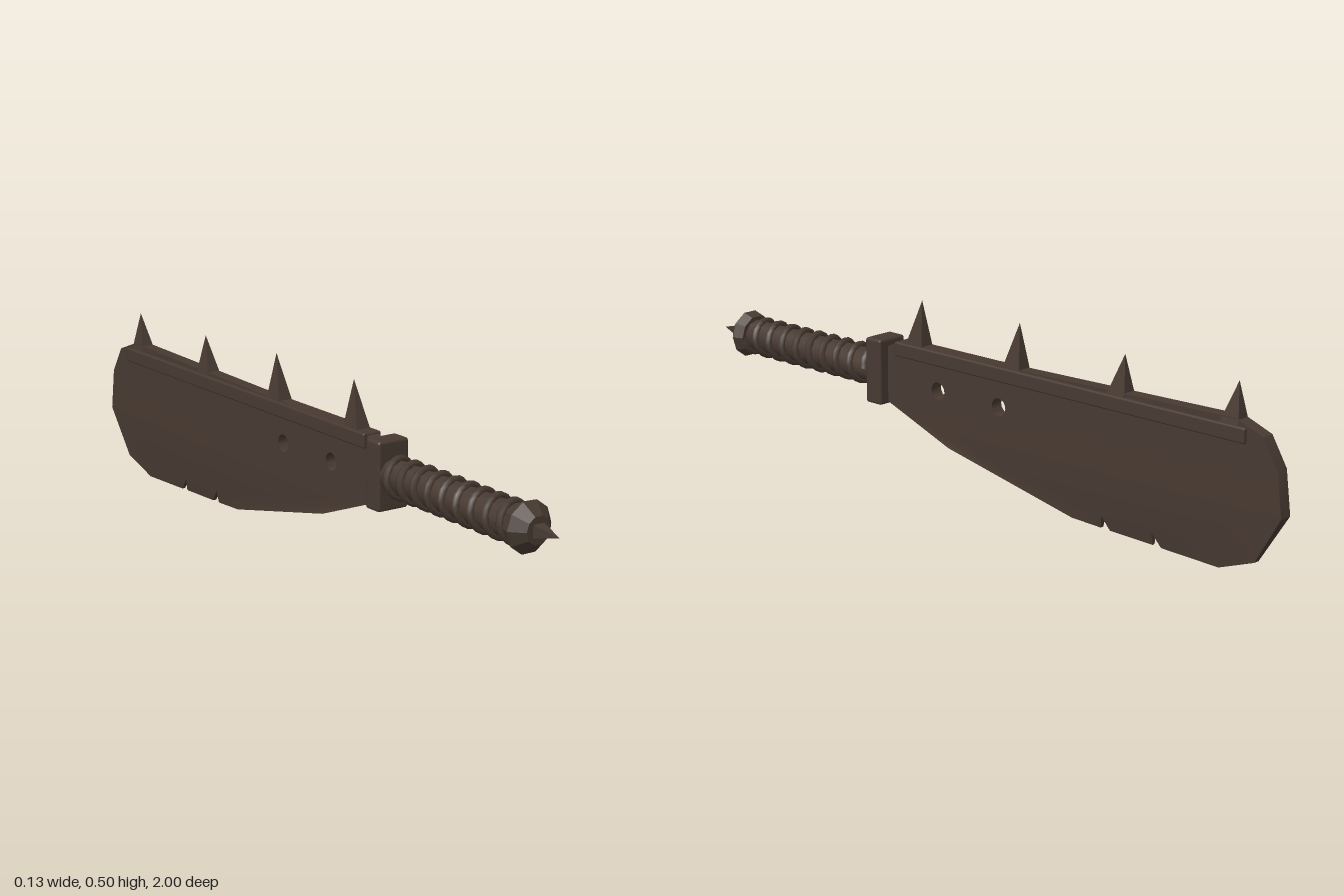
import * as THREE from 'three';
import { toCreasedNormals } from 'three/addons/utils/BufferGeometryUtils.js';
import { RoundedBoxGeometry } from 'three/addons/geometries/RoundedBoxGeometry.js';

const AXIS_Y = 0.287; // height of the handle axis

export function createModel() {
  const group = new THREE.Group();
  group.name = 'spikedMachete';

  const darkIron = new THREE.MeshStandardMaterial({ color: 0x483a32 });
  darkIron.name = 'darkIron';

  const add = (name, geometry, x = 0, y = 0, z = 0) => {
    const mesh = new THREE.Mesh(geometry, darkIron);
    mesh.name = name;
    mesh.position.set(x, y, z);
    group.add(mesh);
    return mesh;
  };

  // Square pyramid with its base on y = 0; the tip is shifted along z
  const spikeGeometry = (halfX, halfZ, height, lean = 0) => {
    const g = new THREE.ConeGeometry(Math.SQRT2, height, 4, 1).toNonIndexed();
    g.rotateY(Math.PI / 4);
    g.translate(0, height / 2, 0);
    g.scale(halfX, 1, halfZ);
    const p = g.attributes.position;
    for (let i = 0; i < p.count; i++) p.setZ(i, p.getZ(i) + (lean * p.getY(i)) / height);
    g.computeVertexNormals();
    return g;
  };

  // Blade: side outline in (z, y), with two rivet holes and two chips in the edge
  const outline = [
    [0.33, 0.358], [0.31, 0.358], [0.28, 0.372], [-0.86, 0.395], [-0.94, 0.365],
    [-0.985, 0.29], [-1, 0.175], [-0.92, 0.045], [-0.81, 0.004],
    [-0.632, 0.01], [-0.603, 0.046], [-0.605, 0.012],
    [-0.467, 0.016], [-0.442, 0.05], [-0.437, 0.017],
    [-0.34, 0.021], [0.085, 0.118], [0.31, 0.203], [0.33, 0.21],
  ].map(([z, y]) => new THREE.Vector2(z, y));
  const shape = new THREE.Shape(outline);
  for (const z of [0.123, -0.096]) {
    shape.holes.push(new THREE.Path().absarc(z, 0.268, 0.024, 0, Math.PI * 2, true));
  }
  const half = 0.018;
  const blade = new THREE.ExtrudeGeometry(shape, {
    depth: half * 2, bevelEnabled: false, curveSegments: 8,
  });
  blade.translate(0, 0, -half);
  // Thin the blade towards its cutting edge
  const p = blade.attributes.position;
  for (let i = 0; i < p.count; i++) {
    const t = THREE.MathUtils.clamp(p.getY(i) / 0.118, 0, 1);
    p.setZ(i, p.getZ(i) * THREE.MathUtils.lerp(0.15, 1, t));
  }
  blade.rotateY(-Math.PI / 2);
  add('blade', toCreasedNormals(blade, 0.5));

  // Reinforcing strip along the back of the blade
  add('spineStrip', new RoundedBoxGeometry(0.056, 0.04, 1.17, 1, 0.005), 0, 0.358, -0.307);

  // Spikes on the spine
  [[0.21, 0.5], [-0.14, 0.5], [-0.49, 0.483], [-0.84, 0.483]].forEach(([z, tip], i) => {
    add('spineSpike' + (i + 1), spikeGeometry(0.022, 0.03, tip - 0.372, -0.013), 0, 0.372, z);
  });

  // Guard
  add('guard', new RoundedBoxGeometry(0.094, 0.183, 0.058, 1, 0.008), 0, 0.287, 0.34);

  // Grip core
  const grip = new THREE.CylinderGeometry(0.045, 0.045, 0.53, 10);
  grip.rotateX(Math.PI / 2);
  add('grip', toCreasedNormals(grip, 0.7), 0, AXIS_Y, 0.615);

  // Cord wound around the grip
  const turns = 9;
  const steps = turns * 10;
  const helix = [];
  for (let i = 0; i <= steps; i++) {
    const a = (i / steps) * turns * Math.PI * 2;
    helix.push(new THREE.Vector3(
      Math.cos(a) * 0.047, Math.sin(a) * 0.047, 0.375 + (0.495 * i) / steps));
  }
  add('gripCord', new THREE.TubeGeometry(
    new THREE.CatmullRomCurve3(helix), steps * 2, 0.0105, 6), 0, AXIS_Y, 0);

  // Ten-sided pommel, turned around the handle axis
  const profile = [[0, 0], [0.056, 0], [0.067, 0.03], [0.036, 0.064], [0, 0.064]]
    .map(([r, h]) => new THREE.Vector2(r, h));
  const pommel = new THREE.LatheGeometry(profile, 10);
  pommel.rotateY(Math.PI / 2);
  pommel.rotateX(Math.PI / 2);
  add('pommel', toCreasedNormals(pommel, 0.3), 0, AXIS_Y, 0.862);

  // Spike on the end of the pommel
  const endSpike = spikeGeometry(0.018, 0.018, 0.08);
  endSpike.rotateX(Math.PI / 2);
  add('pommelSpike', endSpike, 0, AXIS_Y, 0.92);

  return group;
}
